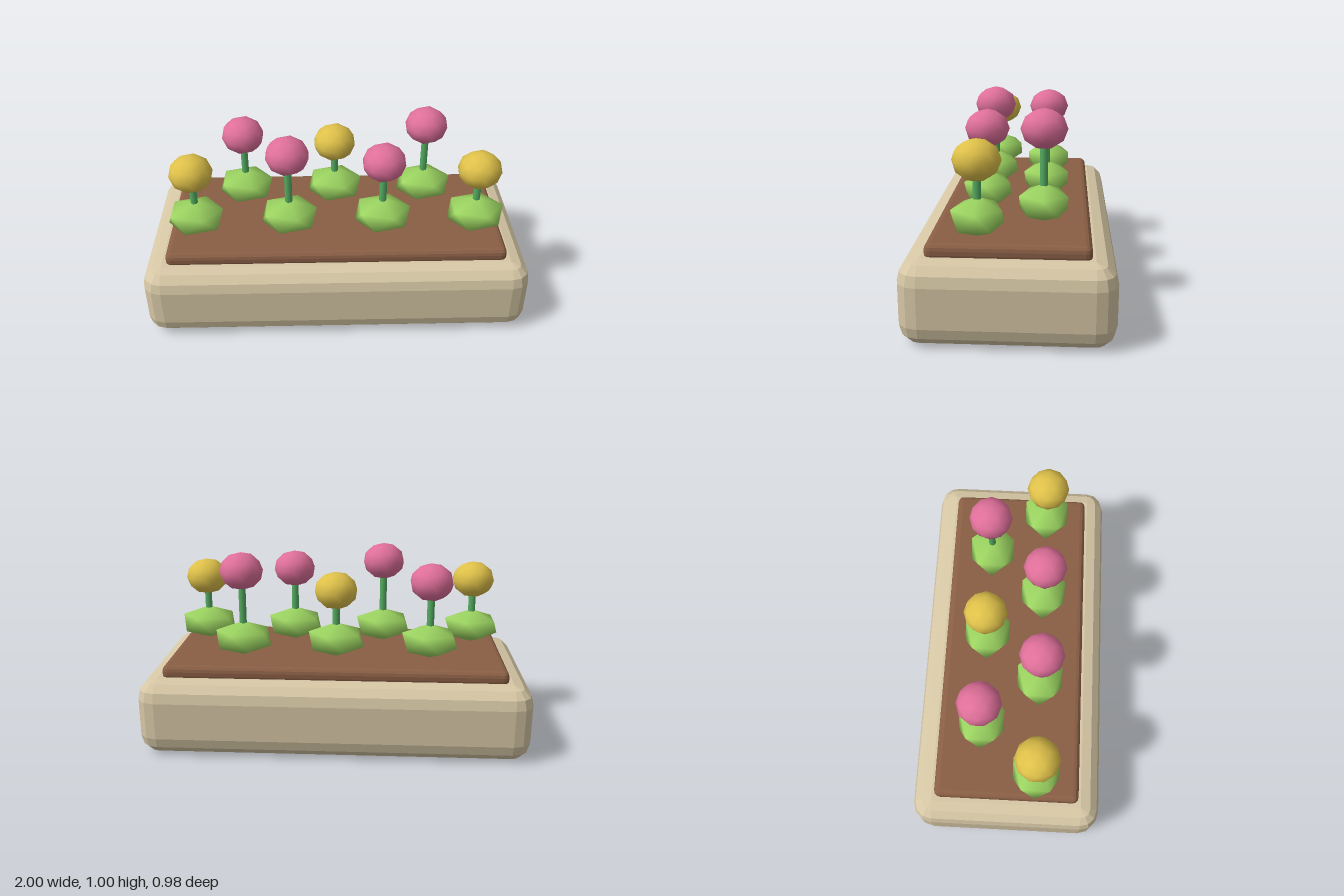
import * as THREE from 'three';
import { mergeVertices } from 'three/addons/utils/BufferGeometryUtils.js';
import { ConvexGeometry } from 'three/addons/geometries/ConvexGeometry.js';

function material(name, color) {
  const m = new THREE.MeshStandardMaterial({ color });
  m.name = name;
  return m;
}

// Box with every edge and corner rounded in three flat steps
function bevelledBox(w, h, d, r) {
  const points = [];
  for (const sx of [-1, 1]) for (const sy of [-1, 1]) for (const sz of [-1, 1]) {
    for (let i = 0; i <= 3; i++) for (let j = 0; j <= 3; j++) {
      const up = (i * Math.PI) / 6, around = (j * Math.PI) / 6;
      points.push(new THREE.Vector3(
        sx * (w / 2 - r + r * Math.cos(up) * Math.cos(around)),
        sy * (h / 2 - r + r * Math.sin(up)),
        sz * (d / 2 - r + r * Math.cos(up) * Math.sin(around))
      ));
      if (i === 3) break; // a single point at the pole
    }
  }
  return new ConvexGeometry(points);
}

// Smooth icosphere with a corner pointing straight up
function icosphere(rx, ry, rz, detail) {
  let g = new THREE.IcosahedronGeometry(1, detail);
  g.deleteAttribute('normal');
  g.deleteAttribute('uv');
  g = mergeVertices(g, 1e-4);
  g.rotateZ(-Math.atan(2 / (1 + Math.sqrt(5))));
  g.scale(rx, ry, rz);
  g.computeVertexNormals();
  return g;
}

export function createModel() {
  const stone = material('stone', 0xd6c7a5);
  const earth = material('earth', 0x8a5f45);
  const leaf = material('leaf green', 0x9dd662);
  const stemGreen = material('stem green', 0x55ad62);
  const pink = material('pink', 0xe0709a);
  const gold = material('gold', 0xe0c24a);

  const model = new THREE.Group();
  model.name = 'flowerPlanter';

  function add(parent, name, geometry, mat, x, y, z) {
    const mesh = new THREE.Mesh(geometry, mat);
    mesh.name = name;
    mesh.position.set(x, y, z);
    parent.add(mesh);
    return mesh;
  }

  // Planter and soil bed
  add(model, 'planter', bevelledBox(2, 0.392, 0.98, 0.1), stone, 0, 0.196, 0);
  add(model, 'soil', bevelledBox(1.76, 0.08, 0.75, 0.03), earth, 0, 0.41, 0);

  // Seven flowers, alternating between the front and back rows
  const bushShape = icosphere(0.162, 0.092, 0.138, 0);
  const bloomShape = icosphere(0.113, 0.098, 0.113, 1);
  const bloomHeights = [0.803, 0.853, 0.9];
  for (let i = 0; i < 7; i++) {
    const flower = new THREE.Group();
    flower.name = 'flower' + (i + 1);
    flower.position.set((i - 3) * 0.245, 0, i % 2 ? -0.147 : 0.147);
    const top = bloomHeights[i % 3];
    const length = top - 0.46;
    add(flower, 'leaves', bushShape, leaf, 0, 0.54, 0);
    add(flower, 'stem', new THREE.CylinderGeometry(0.019, 0.019, length, 8), stemGreen, 0, 0.46 + length / 2, 0);
    add(flower, 'bloom', bloomShape, i % 3 ? pink : gold, 0, top, 0);
    model.add(flower);
  }
  return model;
}
